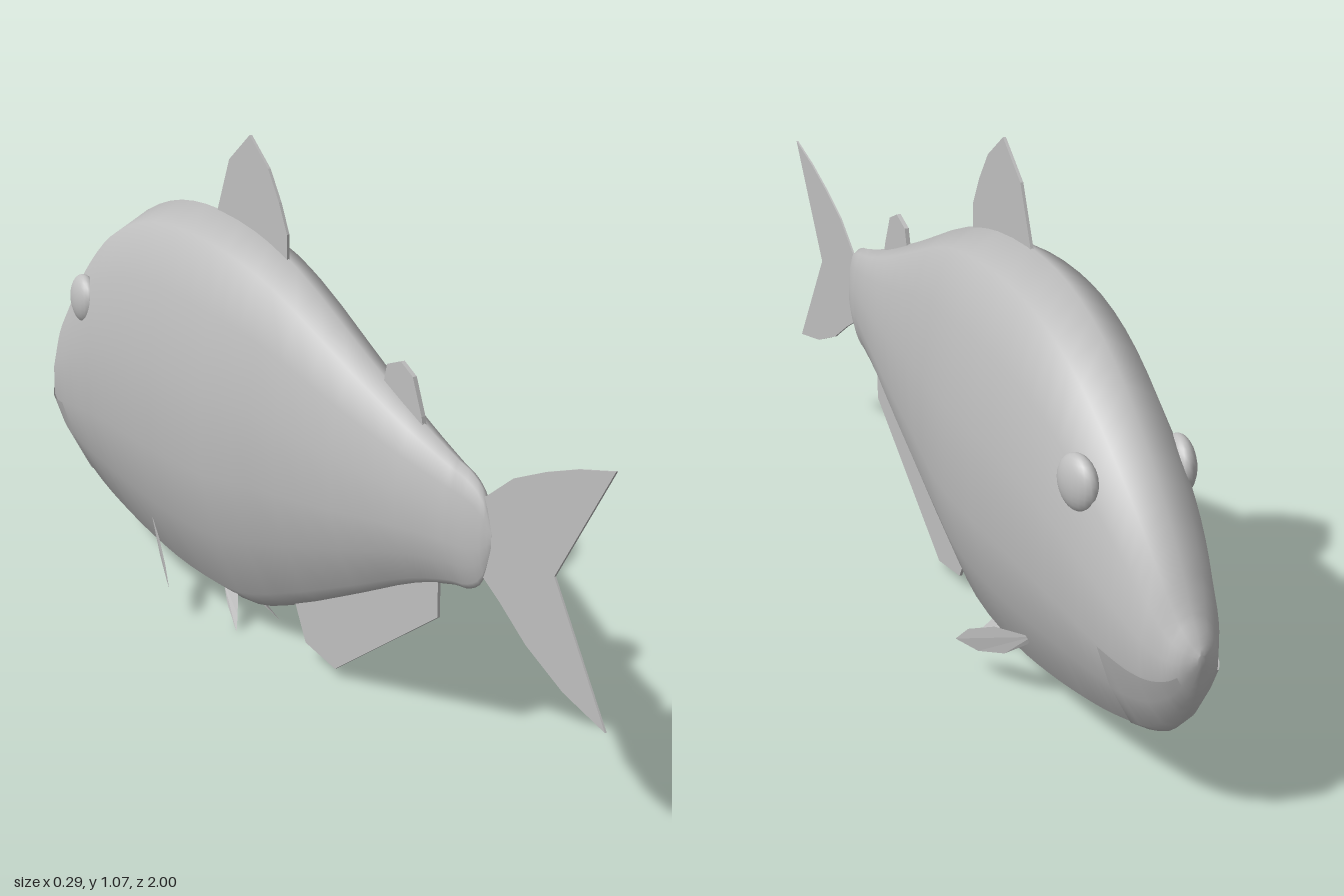
import * as THREE from 'three';

const skin = new THREE.MeshStandardMaterial({ color: 0xbfbfbf, side: THREE.DoubleSide });
skin.name = 'fish grey';

// Body stations: z, top, bottom, half width (snout to tail)
const stations = [
  [-1, 0.385, 0.36, 0.008], [-0.985, 0.41, 0.30, 0.035], [-0.96, 0.445, 0.25, 0.055],
  [-0.92, 0.51, 0.20, 0.077], [-0.85, 0.605, 0.155, 0.1], [-0.76, 0.70, 0.12, 0.118],
  [-0.65, 0.79, 0.09, 0.132], [-0.5, 0.86, 0.06, 0.143], [-0.35, 0.885, 0.043, 0.146],
  [-0.15, 0.872, 0.052, 0.138], [0, 0.83, 0.105, 0.117], [0.25, 0.715, 0.22, 0.083],
  [0.43, 0.637, 0.305, 0.056], [0.55, 0.595, 0.345, 0.035], [0.6, 0.58, 0.355, 0.026],
  [0.64, 0.545, 0.39, 0.014], [0.66, 0.49, 0.45, 0.003],
];
// Cross-section from back to belly: share of half width, share of height
const half = [[0, 1], [0.5, 0.953], [0.83, 0.81], [1, 0.61], [1, 0.39], [0.74, 0.213], [0.35, 0.047], [0, 0]];
const section = [...half, ...half.slice(1, -1).reverse().map(([x, v]) => [-x, v])];

const profile = new THREE.CubicInterpolant(
  stations.map((s) => s[0]), stations.flatMap((s) => s.slice(1)), 3);

// Skin surface over the given z positions and section points
function loft(zs, points, closed, grow = 0) {
  const pos = [], index = [], n = points.length;
  for (const z of zs) {
    const [top, bottom, w] = profile.evaluate(z);
    for (const [x, v] of points) {
      pos.push(x * (w + grow), bottom + v * (top - bottom) - grow * (1 - v), z);
    }
  }
  for (let i = 0; i < zs.length - 1; i++) {
    for (let j = 0; j < (closed ? n : n - 1); j++) {
      const a = i * n + j, b = i * n + (j + 1) % n;
      index.push(a, a + n, b, b, a + n, b + n);
    }
  }
  if (closed) {
    const last = (zs.length - 1) * n;
    for (let j = 1; j < n - 1; j++) {
      index.push(0, j, j + 1, last, last + j + 1, last + j);
    }
  }
  const geo = new THREE.BufferGeometry();
  geo.setAttribute('position', new THREE.Float32BufferAttribute(pos, 3));
  geo.setIndex(index);
  geo.computeVertexNormals();
  return geo;
}

// Thin upright fin on the centre plane, outline in (z, y)
function centreFin(outline, thickness) {
  const shape = new THREE.Shape(outline.map(([z, y]) => new THREE.Vector2(z, y)));
  const geo = new THREE.ExtrudeGeometry(shape, { depth: thickness, bevelEnabled: false });
  return geo.translate(0, 0, -thickness / 2).rotateY(-Math.PI / 2);
}

// Single-sheet paired fin from its rim points
function sideFin(rim, side) {
  const pos = [];
  for (let i = 1; i < rim.length - 1; i++) {
    for (const [x, y, z] of [rim[0], rim[i], rim[i + 1]]) pos.push(x * side, y, z);
  }
  const geo = new THREE.BufferGeometry();
  geo.setAttribute('position', new THREE.Float32BufferAttribute(pos, 3));
  geo.computeVertexNormals();
  return geo;
}

export function createModel() {
  const fish = new THREE.Group();
  fish.name = 'fish';
  const add = (name, geo) => {
    const mesh = new THREE.Mesh(geo, skin);
    mesh.name = name;
    fish.add(mesh);
    return mesh;
  };

  // Body with three steps between stations
  const zs = [];
  stations.forEach(([z], i) => {
    const next = stations[i + 1];
    if (next) for (let k = 0; k < 3; k++) zs.push(z + (next[0] - z) * k / 3);
    else zs.push(z);
  });
  add('body', loft(zs, section, true));

  // Lower jaw, a thin shell over the chin
  add('lowerJaw', loft(zs.filter((z) => z > -0.99 && z < -0.81), section.slice(4, 11), false, 0.003));

  // Fins on the centre line
  add('dorsalFin', centreFin([[-0.03, 0.8], [-0.03, 0.89], [-0.06, 0.95], [-0.1, 1.01], [-0.17, 1.065],
    [-0.25, 1.0], [-0.3, 0.88], [-0.3, 0.8]], 0.006));
  add('adiposeFin', centreFin([[0.45, 0.6], [0.44, 0.645], [0.41, 0.715], [0.37, 0.735], [0.325, 0.718],
    [0.31, 0.66]], 0.009));
  add('tailFin', centreFin([[0.6, 0.54], [0.64, 0.55], [0.72, 0.61], [0.81, 0.65], [0.9, 0.683], [1, 0.71],
    [0.845, 0.465], [1, 0.225], [0.88, 0.255], [0.77, 0.305], [0.69, 0.36], [0.64, 0.39], [0.6, 0.4]], 0.004));
  add('analFin', centreFin([[0.5, 0.34], [0.5, 0.26], [0.15, 0.018], [0.04, 0.035], [0, 0.11], [0.02, 0.14],
    [0.25, 0.24]], 0.006));

  // Paired parts
  for (const [label, side] of [['left', 1], ['right', -1]]) {
    const eye = add(label + 'Eye', new THREE.SphereGeometry(0.055, 20, 14));
    eye.scale.x = 0.5;
    eye.position.set(side * 0.1, 0.605, -0.715);
    eye.rotation.y = side * 0.15;

    add(label + 'PectoralFin', sideFin([[0.075, 0.168, -0.475], [0.11, 0.15, -0.38], [0.135, 0.115, -0.31],
      [0.147, 0.078, -0.275], [0.122, 0.073, -0.33], [0.097, 0.098, -0.4], [0.075, 0.145, -0.46]], side));
    add(label + 'PelvicFin', sideFin([[0.02, 0.07, -0.26], [0.035, 0.035, -0.22], [0.055, 0, -0.15],
      [0.04, 0.028, -0.17], [0.02, 0.07, -0.2]], side));
  }
  return fish;
}
